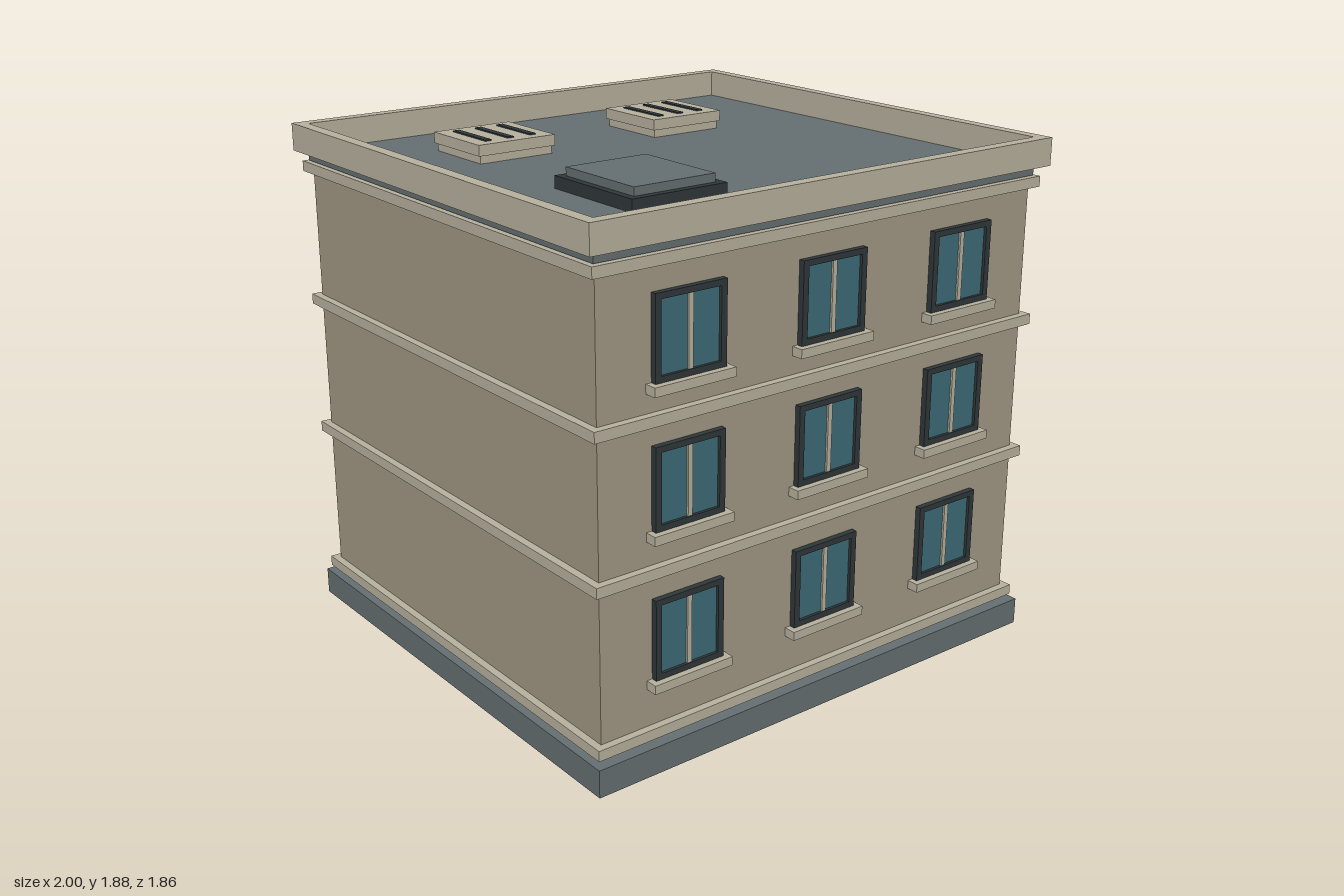
import * as THREE from 'three';

const mat = (color) => new THREE.MeshStandardMaterial({ color });
const wallMat = mat(0xa39a86);
const trimMat = mat(0xbab3a0);
const slateMat = mat(0x667072);
const darkMat = mat(0x30383a);
const glassMat = mat(0x3f6d78);

const CX = -0.015; // middle of the building in x

// Box given by its limits on each axis
function box(parent, name, material, [x0, x1], [y0, y1], [z0, z1]) {
  const mesh = new THREE.Mesh(new THREE.BoxGeometry(x1 - x0, y1 - y0, z1 - z0), material);
  mesh.position.set((x0 + x1) / 2, (y0 + y1) / 2, (z0 + z1) / 2);
  mesh.name = name;
  parent.add(mesh);
  return mesh;
}

// Upright frame facing +z: outer rectangle with a rectangular hole
function frame(parent, name, material, w, h, side, topBottom, depth) {
  const rect = (P, a, b) => new P([
    new THREE.Vector2(-a, -b), new THREE.Vector2(a, -b),
    new THREE.Vector2(a, b), new THREE.Vector2(-a, b)]);
  const shape = rect(THREE.Shape, w / 2, h / 2);
  shape.holes.push(rect(THREE.Path, w / 2 - side, h / 2 - topBottom));
  const mesh = new THREE.Mesh(
    new THREE.ExtrudeGeometry(shape, { depth, bevelEnabled: false }), material);
  mesh.name = name;
  parent.add(mesh);
  return mesh;
}

// Window facing +z, wall surface at z = 0, top of the frame at y = 0
function makeWindow({ w, h, side, topBottom, depth, sillW, sillDepth, lintelDepth }) {
  const g = new THREE.Group();
  g.name = 'window';
  frame(g, 'windowFrame', darkMat, w, h, side, topBottom, depth).position.y = -h / 2;
  const gw = w / 2 - side;
  box(g, 'glass', glassMat, [-gw, gw], [-h + topBottom, -topBottom], [-0.01, depth * 0.5]);
  box(g, 'mullion', trimMat, [-0.009, 0.009], [-h + topBottom, -topBottom], [0, depth * 0.85]);
  box(g, 'sill', trimMat, [-sillW / 2, sillW / 2], [-h - 0.032, -h], [-0.01, sillDepth]);
  if (lintelDepth) {
    box(g, 'lintel', trimMat, [-sillW / 2, sillW / 2], [0, 0.032], [-0.01, lintelDepth]);
  }
  return g;
}

// Roof vent with dark slots in its lid
function makeVent(x, z) {
  const g = new THREE.Group();
  g.name = 'roofVent';
  box(g, 'ventBody', trimMat, [-0.15, 0.15], [0, 0.05], [-0.145, 0.145]);
  box(g, 'ventLid', trimMat, [-0.16, 0.16], [0.03, 0.07], [-0.153, 0.153]);
  for (const dx of [-0.093, 0, 0.093]) {
    box(g, 'ventSlot', darkMat, [dx - 0.013, dx + 0.013], [0.06, 0.075], [-0.11, 0.11]);
  }
  g.position.set(x, 1.78, z);
  return g;
}

export function createModel() {
  const model = new THREE.Group();
  model.name = 'apartmentBuilding';

  // Main body, base and roof
  box(model, 'plinth', slateMat, [-0.99, 0.965], [0, 0.1], [-0.925, 0.925]);
  box(model, 'walls', wallMat, [-0.95, 0.92], [0.1, 1.76], [-0.88, 0.88]);
  box(model, 'roofSlab', slateMat, [-0.96, 0.93], [1.745, 1.781], [-0.89, 0.89]);

  // Horizontal bands around each storey
  for (const y of [0.12, 0.69, 1.2, 1.705]) {
    box(model, 'floorBand', trimMat, [-0.978, 0.947], [y, y + 0.038], [-0.908, 0.908]);
  }

  // Parapet ring, laid flat
  const parapet = frame(model, 'parapet', trimMat, 1.97, 1.86, 0.045, 0.045, 0.1);
  parapet.rotation.x = -Math.PI / 2;
  parapet.position.set(CX, 1.78, 0);

  // Plain windows on front and back, framed ones on the entrance side
  const plain = { w: 0.278, h: 0.285, side: 0.023, topBottom: 0.021, depth: 0.022,
    sillW: 0.32, sillDepth: 0.045 };
  const grand = { w: 0.32, h: 0.31, side: 0.037, topBottom: 0.006, depth: 0.035,
    sillW: 0.338, sillDepth: 0.08, lintelDepth: 0.057 };
  [0, 0.49, 1.01].forEach((drop, storey) => {
    for (const col of [-1, 0, 1]) {
      for (const s of [1, -1]) {
        const win = makeWindow(plain);
        win.position.set(CX + col * 0.591, 1.62 - drop, s * 0.88);
        if (s < 0) win.rotation.y = Math.PI;
        model.add(win);
      }
      if (storey === 2 && col === 0) continue; // the door is here
      const win = makeWindow(grand);
      win.position.set(0.92, 1.63 - drop, col * 0.595);
      win.rotation.y = Math.PI / 2;
      model.add(win);
    }
  });

  // Entrance with double door
  const door = new THREE.Group();
  door.name = 'entrance';
  for (const s of [1, -1]) {
    const z = [0.185 * s, 0.237 * s].sort((a, b) => a - b);
    box(door, 'doorJamb', trimMat, [0.9, 0.952], [0.1, 0.645], z);
  }
  box(door, 'doorHead', trimMat, [0.9, 0.952], [0.6, 0.645], [-0.185, 0.185]);
  box(door, 'doorLeaves', darkMat, [0.9, 0.962], [0.09, 0.6], [-0.185, 0.185]);
  box(door, 'doorCenterStrip', slateMat, [0.93, 0.97], [0.1, 0.58], [-0.008, 0.008]);
  model.add(door);

  // Roof fittings
  model.add(makeVent(-0.44, -0.452), makeVent(0.327, -0.452));
  const hatch = new THREE.Group();
  hatch.name = 'roofHatch';
  box(hatch, 'hatchCurb', darkMat, [-0.597, -0.212], [1.78, 1.825], [0.163, 0.59]);
  box(hatch, 'hatchLid', slateMat, [-0.57, -0.24], [1.82, 1.855], [0.19, 0.563]);
  model.add(hatch);

  return model;
}
